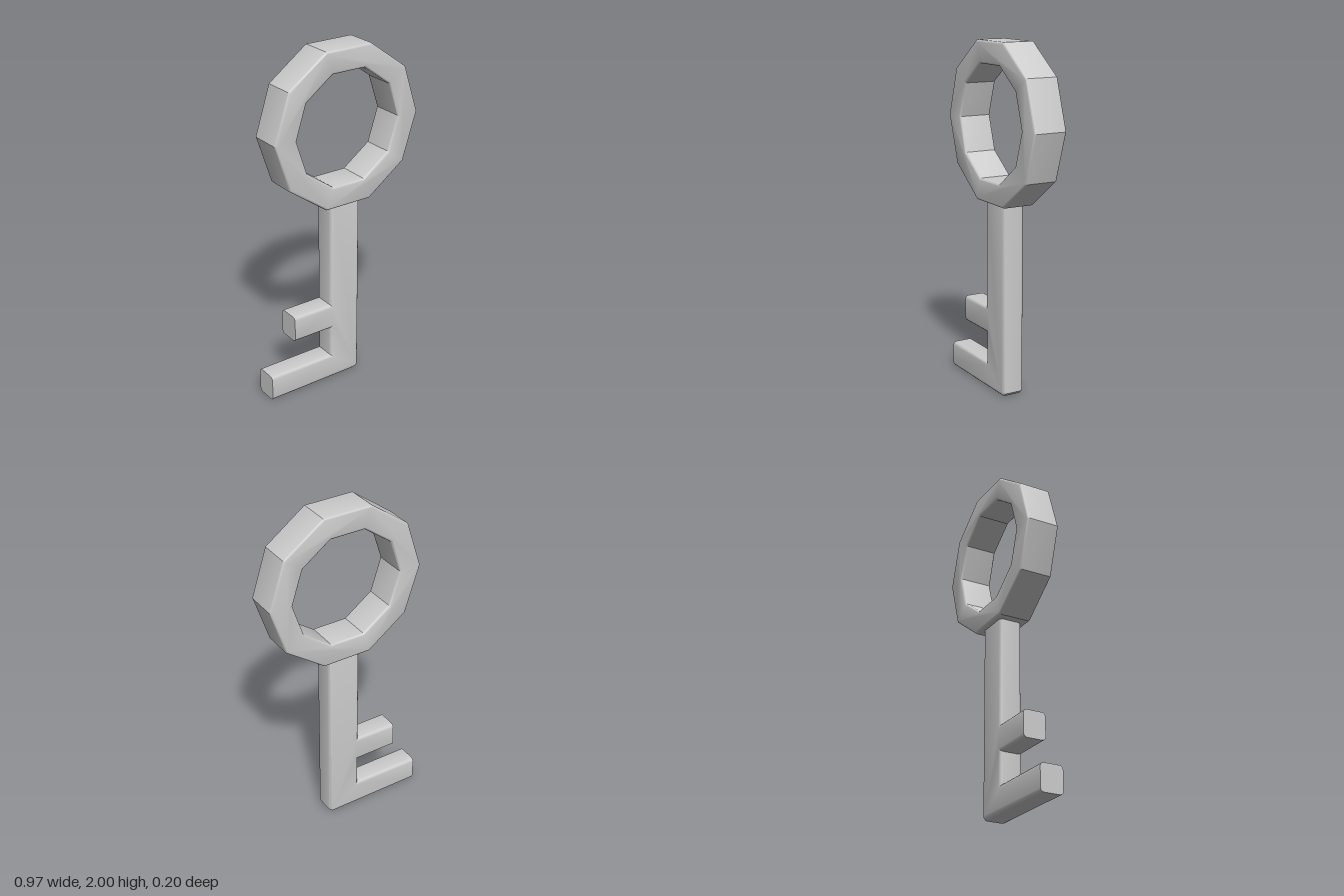
import * as THREE from 'three';
import { toCreasedNormals } from 'three/addons/utils/BufferGeometryUtils.js';

const material = new THREE.MeshStandardMaterial({ color: 0xcccccc });

// Extrudes a shape to z = +-half, with rounded rims inside its outline
function plate(shape, half, bevel) {
  const geometry = new THREE.ExtrudeGeometry(shape, {
    depth: 2 * (half - bevel), bevelThickness: bevel, bevelSize: bevel,
    bevelOffset: -bevel, bevelSegments: 3,
  });
  return geometry.translate(0, 0, -(half - bevel));
}

function addPart(group, name, geometry) {
  const mesh = new THREE.Mesh(toCreasedNormals(geometry, 0.58), material);
  mesh.name = name;
  group.add(mesh);
}

function decagon(radius) {
  return Array.from({ length: 10 }, (_, i) => {
    const a = (i * Math.PI) / 5;
    return new THREE.Vector2(radius * Math.cos(a), radius * Math.sin(a));
  });
}

export function createModel() {
  const key = new THREE.Group();
  key.name = 'key';

  // Ten-sided ring handle
  const ring = new THREE.Shape(decagon(0.468));
  ring.holes.push(new THREE.Path(decagon(0.334)));
  addPart(key, 'ringHandle', plate(ring, 0.098, 0.013).translate(0.016, 1.555, 0));

  // Shaft and its two teeth in one outline, top end buried in the ring
  const longEnd = -0.49, shortEnd = -0.33, left = -0.083, right = 0.115;
  const outline = [
    [longEnd, 0], [right - 0.018, 0], [right, 0.018], [right, 1.16], [left, 1.16],
    [left, 0.487], [shortEnd, 0.487], [shortEnd, 0.333], [left, 0.333],
    [left, 0.152], [longEnd, 0.152],
  ].map(([x, y]) => new THREE.Vector2(x, y));
  const body = plate(new THREE.Shape(outline), 0.066, 0.02);

  // Square off the tooth ends so only their long edges stay rounded
  const p = body.attributes.position;
  for (let i = 0; i < p.count; i++) {
    const end = p.getY(i) < 0.25 ? longEnd : shortEnd;
    if (p.getX(i) < end + 0.03) p.setX(i, end);
  }
  addPart(key, 'shaftAndTeeth', body);

  return key;
}
